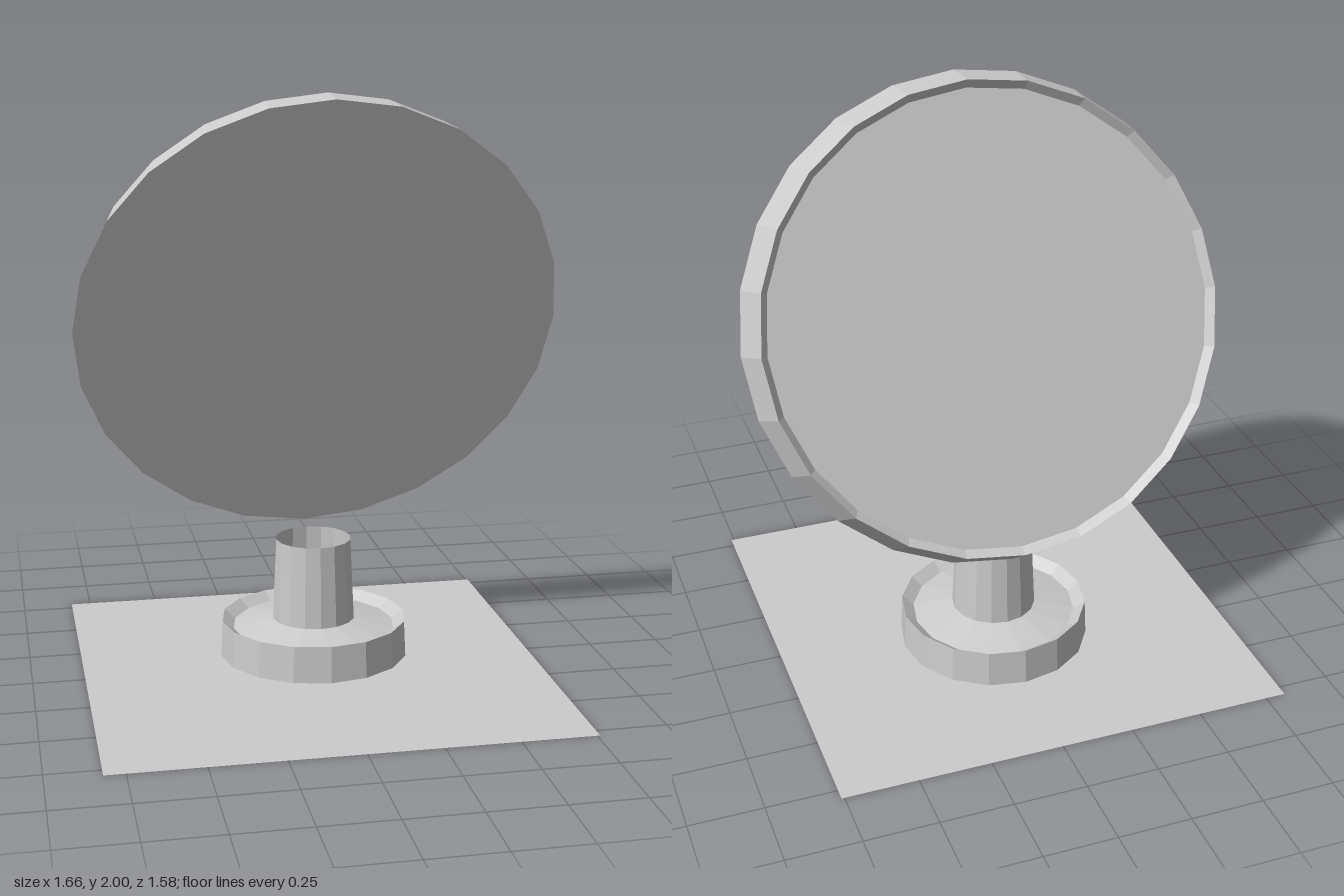
import * as THREE from 'three';

export function createModel() {
  const model = new THREE.Group();
  const grey = new THREE.MeshStandardMaterial({ color: 0xcccccc, side: THREE.DoubleSide, flatShading: true });
  grey.name = 'light grey';

  // Faceted part turned around its own y axis from [radius, height] pairs
  const turned = (name, profile, sides) => {
    const points = profile.map(([r, y]) => new THREE.Vector2(r, y));
    const mesh = new THREE.Mesh(new THREE.LatheGeometry(points, sides), grey);
    mesh.name = name;
    model.add(mesh);
    return mesh;
  };

  // Thin square ground sheet
  const sheet = new THREE.Mesh(new THREE.PlaneGeometry(1.58, 1.58), grey);
  sheet.name = 'groundSheet';
  sheet.rotation.x = -Math.PI / 2;
  sheet.position.x = -0.03;
  model.add(sheet);

  // Round foot with a raised rim and a shallow cone inside
  const foot = turned('foot', [
    [0, 0.004], [0.29, 0.004], [0.333, 0.012], [0.327, 0.14], [0.287, 0.11], [0.147, 0.14],
  ], 16);

  // Tapered stem, open at the top
  const stem = turned('stem', [[0.147, 0.13], [0.133, 0.43]], 16);
  foot.position.z = stem.position.z = -0.11;

  // Tilted round head: flat front, tapered side, recessed back
  const head = turned('tiltedDisc', [
    [0, 0], [0.83, 0], [0.79, -0.139], [0.765, -0.11], [0, -0.11],
  ], 24);
  head.position.set(0, 1.213, -0.01);
  head.rotation.x = THREE.MathUtils.degToRad(111.2);

  return model;
}
